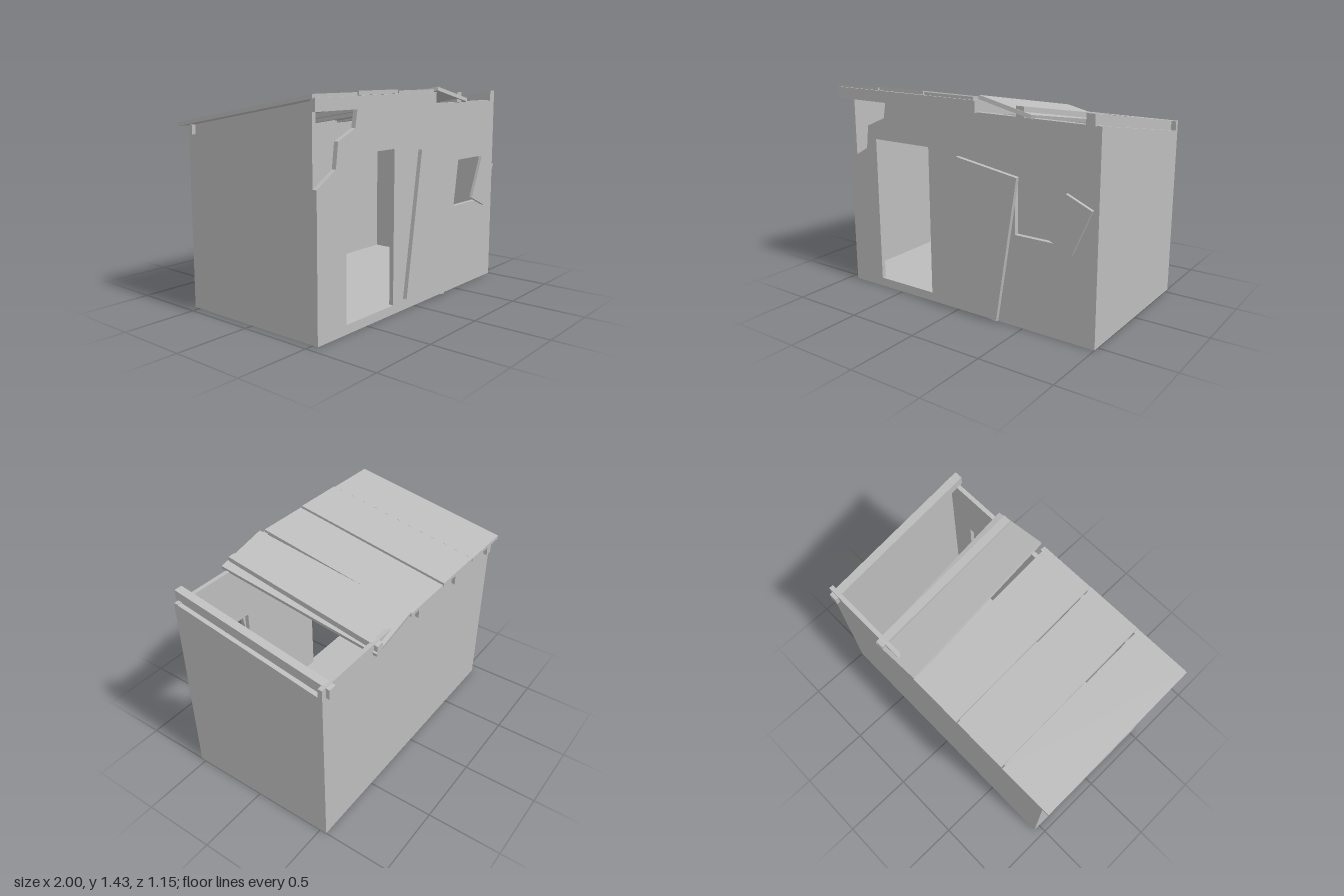
import * as THREE from 'three';

const SLOPE = 0.175;                       // roof rise per unit of z
const grey = new THREE.MeshStandardMaterial({ color: 0xbcbcbc });
grey.name = 'weathered grey';

export function createModel() {
  const shed = new THREE.Group();
  shed.name = 'shed';

  const add = (name, geometry) => {
    const mesh = new THREE.Mesh(geometry, grey);
    mesh.name = name;
    shed.add(mesh);
    return mesh;
  };

  // Box given by its two opposite corners
  const block = (name, [x0, y0, z0], [x1, y1, z1]) =>
    add(name, new THREE.BoxGeometry(x1 - x0, y1 - y0, z1 - z0)
      .translate((x0 + x1) / 2, (y0 + y1) / 2, (z0 + z1) / 2));

  // Side profile of [z, y] points, extruded from x0 to x1
  const sideSlab = (name, x0, x1, points) => {
    const shape = new THREE.Shape(points.map(([z, y]) => new THREE.Vector2(-z, y)));
    const geometry = new THREE.ExtrudeGeometry(shape, { depth: x1 - x0, bevelEnabled: false });
    return add(name, geometry.rotateY(Math.PI / 2).translate(x0, 0, 0));
  };

  // Sloping board: bottom and top heights are those at its front end
  const slopedBoard = (name, x0, x1, front, back, bottom, top) => {
    const drop = SLOPE * (front - back);
    sideSlab(name, x0, x1, [[front, bottom], [front, top], [back, top - drop], [back, bottom - drop]]);
  };

  // Front wall with a broken corner, doorway and window
  const wall = new THREE.Shape([
    [-0.94, 0], [1, 0], [1, 1.32], [-0.59, 1.32], [-0.61, 1.21],
    [-0.76, 1.145], [-0.78, 0.99], [-0.94, 0.895],
  ].map(([x, y]) => new THREE.Vector2(x, y)));
  const opening = (x0, y0, x1, y1) => wall.holes.push(new THREE.Path(
    [[x0, y0], [x0, y1], [x1, y1], [x1, y0]].map(([x, y]) => new THREE.Vector2(x, y))));
  opening(-0.69, 0.06, -0.23, 1.06);
  opening(0.44, 0.6, 0.8, 0.92);
  add('frontWall', new THREE.ExtrudeGeometry(wall, { depth: 0.03, bevelEnabled: false })
    .translate(0, 0, 0.508));

  // Other walls and floor
  block('backWall', [-0.94, 0, -0.547], [1, 1.197, -0.517]);
  for (const [name, x] of [['rightWall', -0.94], ['leftWall', 0.97]]) {
    sideSlab(name, x, x + 0.03, [[0.508, 0], [0.508, 1.315], [-0.517, 1.135], [-0.517, 0]]);
  }
  block('floor', [-0.91, 0, -0.517], [0.97, 0.06, 0.508]);

  // Rafters
  for (let i = 0; i < 5; i++) {
    const x = -0.885 + i * 0.456;
    slopedBoard('rafter', x - 0.028, x + 0.028, 0.556, -0.572, 1.32, 1.387);
  }

  // Roof boards still in place, and the fascia along their front
  for (const [x0, x1, lift] of [[-1, -0.622, 0], [-0.612, -0.238, 0.007], [-0.226, 0.153, 0]]) {
    slopedBoard('roofBoard', x0, x1, 0.565, -0.577, 1.39 + lift, 1.415 + lift);
  }
  block('fascia', [-0.988, 1.32, 0.54], [0.172, 1.396, 0.575]);

  // Slipped roof board, twisted and sunk to one side
  const along = new THREE.Vector3(0.045, 0.2, 1.14).normalize();
  const across = new THREE.Vector3(0.37, -0.085, 0).normalize();
  const up = along.clone().cross(across).normalize();
  across.crossVectors(up, along);
  const slipped = add('slippedRoofBoard',
    new THREE.BoxGeometry(0.378, 0.025, 1.158).translate(0.189, -0.0125, 0.579));
  slipped.applyMatrix4(new THREE.Matrix4().makeBasis(across, up, along)
    .setPosition(0.155, 1.23, -0.575));

  // Door and shutter hanging askew in front of the wall
  const panel = (name, width, height, x, y, z, depth, tilt) => {
    const mesh = add(name, new THREE.BoxGeometry(width, height, depth));
    mesh.position.set(x, y, z);
    mesh.rotation.z = tilt;
  };
  panel('door', 0.455, 0.967, 0.17, 0.523, 0.558, 0.028, -0.156);
  panel('shutter', 0.186, 0.314, 0.823, 0.739, 0.554, 0.021, -0.41);

  return shed;
}
